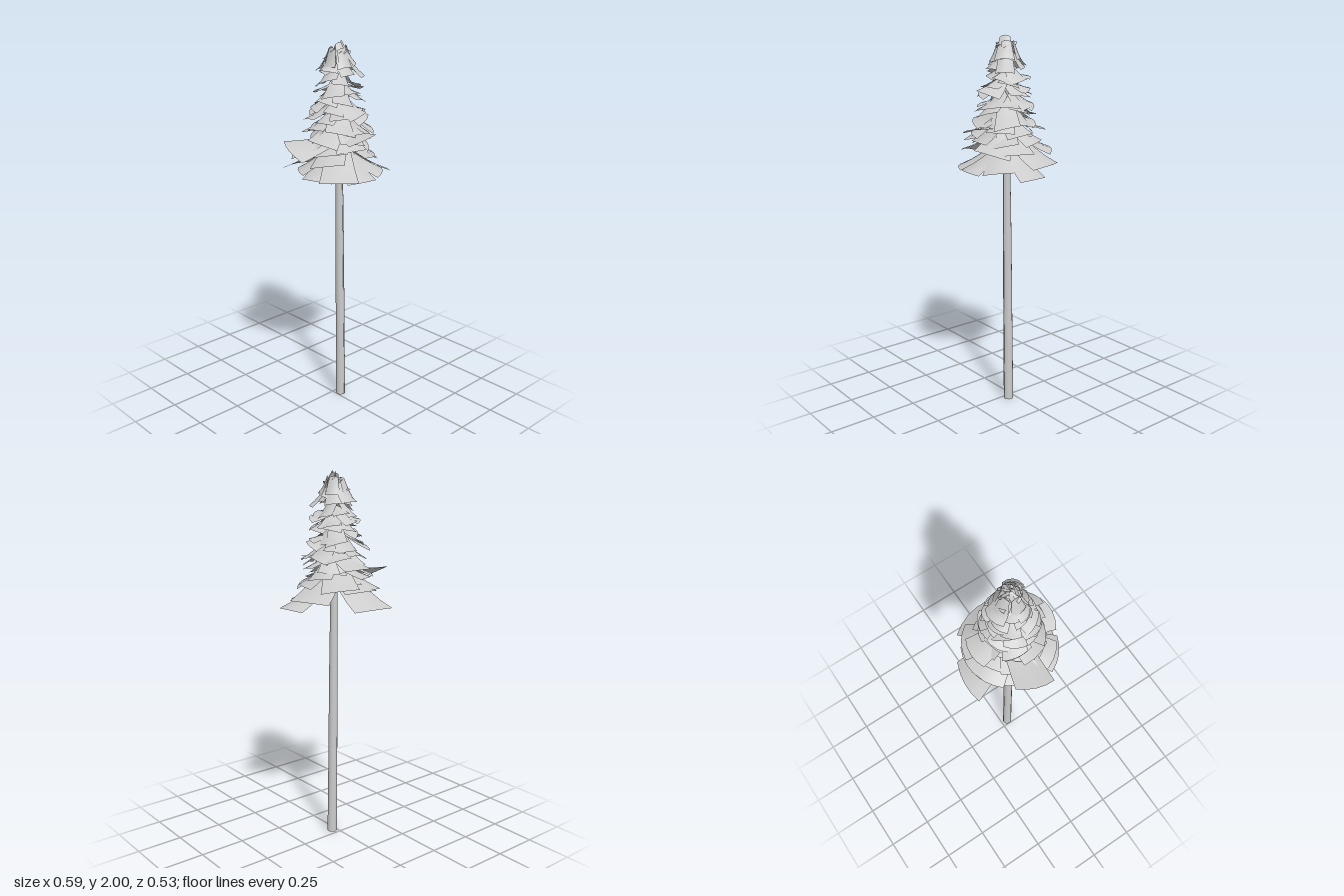
import * as THREE from 'three';

const AXIS_X = 0.003, AXIS_Z = 0.037;

// Seeded random numbers keep the foliage repeatable
function seeded(seed) {
  return () => {
    seed = (seed * 16807) % 2147483647;
    return seed / 2147483647;
  };
}

// One drooping needle card: a curved quad hung from the trunk at a compass angle (0 = front, 90 = +x)
function needleCard({ angle, reach, tipY, drop, halfWidth, wrap = 0.022, twist = 0, skew = 0, inner = 0.015 }) {
  const geo = new THREE.PlaneGeometry(2, 1, 4, 4);
  const p = geo.attributes.position;
  const a = THREE.MathUtils.degToRad(angle);
  const sin = Math.sin(a), cos = Math.cos(a);
  for (let i = 0; i < p.count; i++) {
    const u = p.getX(i), v = 0.5 - p.getY(i);
    const side = u * halfWidth * (0.6 + 0.4 * v);
    const r = THREE.MathUtils.lerp(inner, reach, v) - wrap * u * u * v + skew * u * v;
    const fall = 0.65 * v + 0.35 * Math.sin(v * Math.PI / 2);
    const y = tipY + drop * (1 - fall) - wrap * 0.6 * u * u * (1 - 0.5 * v) + twist * u * v;
    p.setXYZ(i, AXIS_X + sin * r + cos * side, y, AXIS_Z + cos * r - sin * side);
  }
  geo.computeVertexNormals();
  return geo;
}

export function createModel() {
  const model = new THREE.Group();
  const material = new THREE.MeshStandardMaterial({ color: 0xcccccc });
  const leafMaterial = new THREE.MeshStandardMaterial({ color: 0xcccccc, side: THREE.DoubleSide });
  const add = (parent, name, geometry, mat) => {
    const mesh = new THREE.Mesh(geometry, mat);
    mesh.name = name;
    parent.add(mesh);
    return mesh;
  };

  // Slightly leaning trunk that narrows mostly inside the crown
  const trunkGeo = new THREE.CylinderGeometry(0.01, 0.027, 1.95, 12, 6);
  const tp = trunkGeo.attributes.position;
  for (let i = 0; i < tp.count; i++) {
    const t = tp.getY(i) / 1.95 + 0.5;
    const swell = 1 + 0.5 * Math.sin(Math.PI * t) * t;
    tp.setXYZ(i, tp.getX(i) * swell + 0.027 - 0.023 * t, t * 1.95, tp.getZ(i) * swell + 0.039);
  }
  trunkGeo.computeVertexNormals();
  add(model, 'trunk', trunkGeo, material);

  // Large lower boughs: angle, reach, tip height, drop, half width, twist, skew
  const boughs = new THREE.Group();
  boughs.name = 'lowerBoughs';
  model.add(boughs);
  [
    [-8, 0.235, 1.32, 0.16, 0.09, 0, 0],
    [42, 0.235, 1.335, 0.14, 0.085, 0.01, 0],
    [82, 0.29, 1.31, 0.17, 0.085, 0, -0.02],
    [108, 0.265, 1.36, 0.16, 0.12, 0, 0],
    [187, 0.295, 1.32, 0.19, 0.115, 0, 0.025],
    [232, 0.21, 1.34, 0.14, 0.10, 0, 0],
    [-75, 0.225, 1.325, 0.15, 0.09, 0, 0],
    [-42, 0.25, 1.33, 0.15, 0.10, 0, 0],
    [-98, 0.298, 1.475, 0.04, 0.10, -0.035, 0.01],
    [148, 0.24, 1.42, 0.12, 0.10, 0.01, 0],
    [177, 0.245, 1.41, 0.13, 0.10, 0, 0],
    [207, 0.245, 1.41, 0.12, 0.09, -0.01, 0],
    [-7, 0.23, 1.535, 0.02, 0.085, 0.02, 0],
    [-58, 0.235, 1.41, 0.12, 0.09, 0.015, 0],
    [28, 0.20, 1.42, 0.13, 0.10, -0.02, 0],
    [70, 0.19, 1.42, 0.13, 0.10, 0, 0],
    [178, 0.22, 1.52, 0.07, 0.085, 0, 0],
  ].forEach(([angle, reach, tipY, drop, halfWidth, twist, skew]) => {
    add(boughs, 'bough', needleCard({ angle, reach, tipY, drop, halfWidth, twist, skew }), leafMaterial);
  });

  // Overlapping tiers up the crown: tip height, reach, drop, cards, half width
  const rand = seeded(71);
  const crown = new THREE.Group();
  crown.name = 'crownTiers';
  model.add(crown);
  [
    [1.46, 0.175, 0.11, 7, 0.085],
    [1.51, 0.165, 0.10, 7, 0.08],
    [1.56, 0.155, 0.09, 7, 0.075],
    [1.61, 0.15, 0.08, 7, 0.07],
    [1.65, 0.14, 0.07, 7, 0.065],
    [1.70, 0.135, 0.06, 7, 0.065],
    [1.745, 0.135, 0.05, 6, 0.06],
    [1.79, 0.115, 0.07, 6, 0.055],
    [1.84, 0.10, 0.09, 6, 0.05],
    [1.89, 0.08, 0.08, 5, 0.045],
  ].forEach(([tipY, reach, drop, count, halfWidth], tier) => {
    for (let i = 0; i < count; i++) {
      const card = needleCard({
        angle: (i + 0.5 * (tier % 2) + (rand() - 0.5) * 0.6) * 360 / count,
        reach: reach * (0.84 + 0.32 * rand()),
        tipY: tipY + (rand() - 0.5) * 0.04,
        drop: drop * (0.5 + rand()),
        halfWidth: halfWidth * (0.8 + 0.3 * rand()),
        wrap: 0.015,
        twist: (rand() - 0.5) * 0.04,
        skew: (rand() - 0.5) * 0.03,
      });
      add(crown, 'needleCard', card, leafMaterial);
    }
  });

  // Long cards draped from the top
  [[50, 0.135, 1.825, 0.14, 0.05], [190, 0.12, 1.85, 0.11, 0.06], [-110, 0.10, 1.85, 0.11, 0.05]]
    .forEach(([angle, reach, tipY, drop, halfWidth]) => {
      add(crown, 'drapedCard', needleCard({ angle, reach, tipY, drop, halfWidth }), leafMaterial);
    });

  // Steep collar of cards around the flat top
  for (let i = 0; i < 5; i++) {
    const card = needleCard({
      angle: i * 72 - 15, reach: 0.075 + 0.02 * rand(), tipY: 1.87 + 0.02 * rand(),
      drop: 0.09, halfWidth: 0.04, wrap: 0.012, inner: 0.04,
    });
    add(crown, 'collarCard', card, leafMaterial);
  }

  // Narrow tuft at the tip
  const tuft = new THREE.Group();
  tuft.name = 'tipTuft';
  model.add(tuft);
  for (let i = 0; i < 9; i++) {
    const card = needleCard({
      angle: i * 40 + 15 * rand(), reach: 0.04 + 0.025 * rand(), tipY: 1.94 + 0.025 * rand(),
      drop: 0.015, halfWidth: 0.011, wrap: 0.002, inner: 0.002, twist: 0.008,
    });
    add(tuft, 'tuftCard', card, leafMaterial);
  }
  const spike = add(tuft, 'tipSpike', new THREE.ConeGeometry(0.006, 0.06, 6), material);
  spike.position.set(AXIS_X, 1.97, AXIS_Z);

  return model;
}
